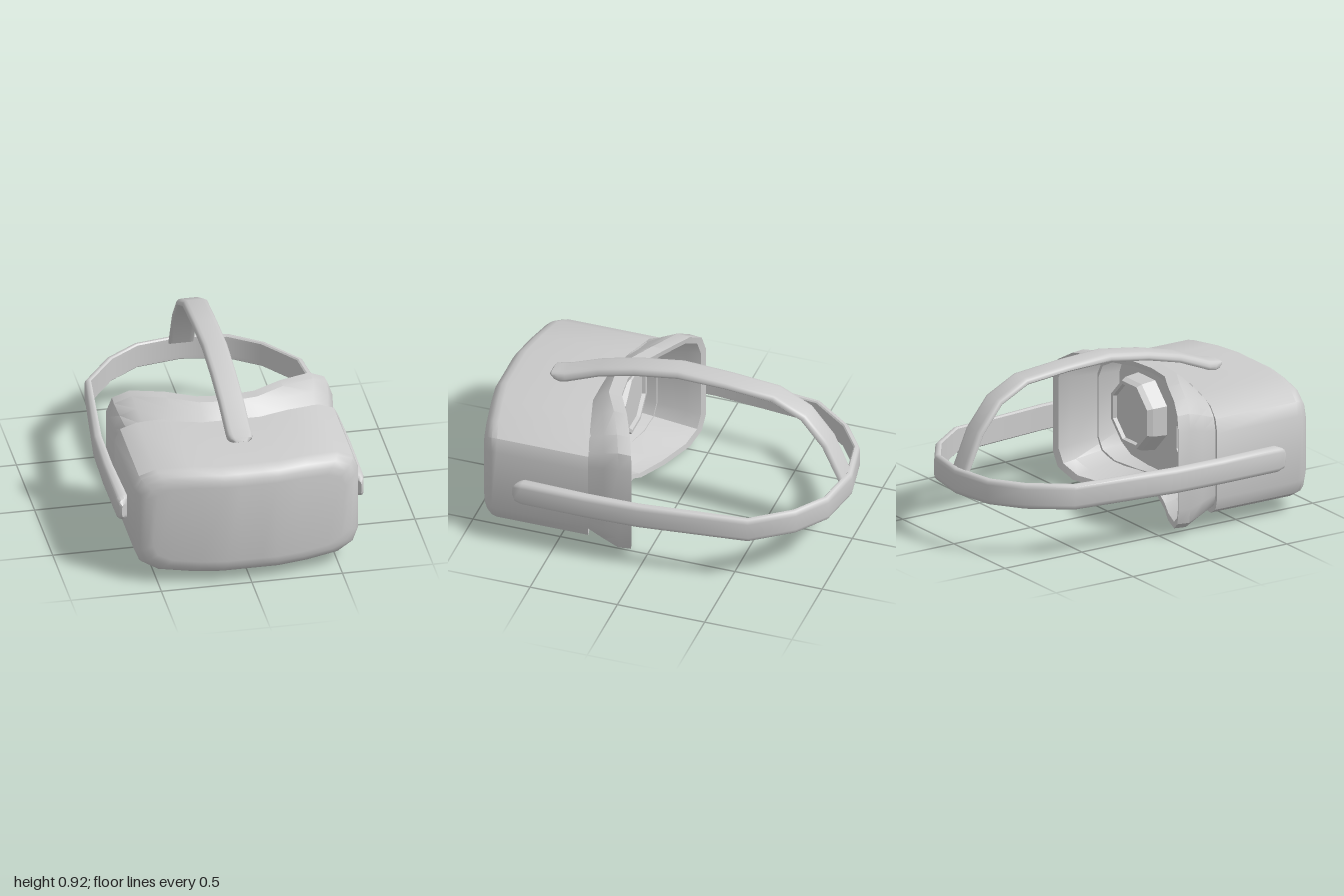
import * as THREE from 'three';
import { toCreasedNormals } from 'three/addons/utils/BufferGeometryUtils.js';

const material = new THREE.MeshStandardMaterial({ color: 0xcccccc, side: THREE.DoubleSide });

// Quarter outline shared by housing and face pad: x, fraction of half height
const QUARTER = [[0, 1], [0.07, 1], [0.16, 1], [0.32, 1], [0.5, 0.955], [0.59, 0.81], [0.62, 0.58]];

// Depth curves as [|x|, z]
const FRONT = [[0, 1], [0.16, 1], [0.32, 0.97], [0.5, 0.935], [0.62, 0.905]];
const JOINT = [[0, 0.43], [0.16, 0.43], [0.32, 0.385], [0.5, 0.335], [0.62, 0.3]];
const RIM = [[0, 0.285], [0.16, 0.265], [0.32, 0.18], [0.5, 0.1], [0.62, 0.05]];

function curve(table, x) {
  const a = Math.abs(x);
  for (let i = 1; i < table.length; i++) {
    const [x0, z0] = table[i - 1], [x1, z1] = table[i];
    if (a <= x1 || i === table.length - 1) return z0 + (z1 - z0) * (a - x0) / (x1 - x0);
  }
}

// Closed ring of points: across the top from -x to +x, back along the bottom
function ring(halfW, halfH, centreY, depth, notch = 0) {
  const half = [...QUARTER.slice(1).reverse().map(([x, y]) => [-x, y]), ...QUARTER];
  const place = ([x, f], side) => {
    const px = x * halfW / 0.62;
    const lift = side < 0 && Math.abs(x) < 0.1 ? notch : 0;
    return new THREE.Vector3(px, centreY + side * f * halfH + lift, depth(px));
  };
  return [...half.map(p => place(p, 1)), ...half.slice().reverse().map(p => place(p, -1))];
}

// Skin between rings, with optional caps bridging top and bottom halves
function loft(rings, capStart, capEnd, crease) {
  const n = rings[0].length, index = [];
  const quad = (a, b, c, d) => index.push(a, b, c, b, d, c);
  for (let j = 0; j < rings.length - 1; j++) {
    for (let i = 0; i < n; i++) {
      const k = (i + 1) % n;
      quad(j * n + i, j * n + k, (j + 1) * n + i, (j + 1) * n + k);
    }
  }
  const last = (rings.length - 1) * n;
  for (let i = 0; i < n / 2 - 1; i++) {
    if (capStart) quad(i, n - 1 - i, i + 1, n - 2 - i);
    if (capEnd) quad(last + i, last + i + 1, last + n - 1 - i, last + n - 2 - i);
  }
  const geometry = new THREE.BufferGeometry().setFromPoints(rings.flat());
  geometry.setIndex(index);
  return toCreasedNormals(geometry, crease);
}

// Strap swept along its outer surface; stations are {p, width scale, thickness}
const BAND = [[-1, -0.65], [-0.95, -0.3], [-0.82, -0.08], [-0.6, 0]];
function strap(stations, axis, halfWidth) {
  const top = [...BAND, ...BAND.slice().reverse().map(([w, t]) => [-w, t])];
  const bottom = [[1, -0.8], [0.9, -1], [0.6, -1], [0.2, -1]];
  const section = [...top, ...bottom, ...bottom.slice().reverse().map(([w, t]) => [-w, t])];
  const rings = stations.map(({ p, scale, thick }, i) => {
    const before = stations[Math.max(i - 1, 0)].p;
    const after = stations[Math.min(i + 1, stations.length - 1)].p;
    const inDir = p.clone().sub(before).normalize(), outDir = after.clone().sub(p).normalize();
    const normal = axis.clone().cross(inDir.add(outDir).normalize());
    return section.map(([w, t]) => p.clone()
      .addScaledVector(axis, w * halfWidth * scale)
      .addScaledVector(normal, t * thick));
  });
  return loft(rings, true, true, 0.75);
}

export function createModel() {
  const model = new THREE.Group();
  const add = (name, geometry, parent = model) => {
    const mesh = new THREE.Mesh(geometry, material);
    mesh.name = name;
    parent.add(mesh);
    return mesh;
  };

  // Housing: rounded front edge, straight sides, inward lip at the back
  const housing = [];
  const radius = 0.09, steps = 4;
  for (let i = 0; i <= steps; i++) {
    const a = (i / steps) * Math.PI / 2;
    const inset = radius * (1 - Math.sin(a)), drop = radius * 0.9 * (1 - Math.cos(a));
    housing.push(ring(0.62 - inset, 0.32 - inset, 0.375, x => curve(FRONT, x) - drop));
  }
  const joint = x => curve(JOINT, x);
  housing.push(ring(0.62, 0.32, 0.375, joint));
  housing.push(ring(0.57, 0.295, 0.378, x => joint(x) + 0.005));
  add('housing', loft(housing, true, false, 0.7));

  // Face pad: flares out of the housing, turns over a thin rim and runs back inside
  const rim = x => curve(RIM, x);
  const panelRing = ring(0.575, 0.29, 0.385, () => 0.46);
  add('facePad', loft([
    ring(0.58, 0.305, 0.38, x => joint(x) + 0.01),
    ring(0.605, 0.35, 0.385, x => 0.45 * joint(x) + 0.55 * (rim(x) + 0.085), 0.02),
    ring(0.62, 0.385, 0.385, x => rim(x) + 0.075, 0.04),
    ring(0.615, 0.38, 0.385, rim, 0.05),
    ring(0.585, 0.35, 0.385, x => rim(x) + 0.005, 0.05),
    ring(0.58, 0.335, 0.385, x => rim(x) + 0.08, 0.04),
    panelRing,
  ], false, false, 0.6));

  // Inner panel behind the lenses
  add('lensPanel', loft([panelRing], false, true, 0.5));

  // Eight-sided eyepieces with recessed lenses
  const eyepieceProfile = [[0.215, 0], [0.205, 0.085], [0.19, 0.115], [0.17, 0.115], [0.163, 0.095], [0, 0.095]]
    .map(([r, y]) => new THREE.Vector2(r, y));
  for (const side of [1, -1]) {
    const geometry = new THREE.LatheGeometry(eyepieceProfile, 8, Math.PI / 8).rotateX(-Math.PI / 2);
    const eyepiece = add(side > 0 ? 'leftEyepiece' : 'rightEyepiece', toCreasedNormals(geometry, 0.3));
    eyepiece.position.set(side * 0.31, 0.4, 0.46);
  }

  // Strap around the head: x, z, width scale, thickness; mirrored for the other side
  const sidePath = [
    [0.66, 0.72, 0.55, 0.04], [0.675, 0.705, 0.85, 0.055], [0.683, 0.665, 1, 0.062],
    [0.685, 0.3, 1, 0.052], [0.676, 0, 1, 0.046], [0.602, -0.61, 1, 0.036],
    [0.438, -0.83, 1, 0.036], [0.26, -0.955, 1, 0.036],
  ];
  const station = ([x, z, scale, thick]) => ({ p: new THREE.Vector3(x, 0.357, z), scale, thick });
  const headPath = [
    ...sidePath.map(station),
    station([0, -1, 1, 0.036]),
    ...sidePath.slice().reverse().map(([x, ...rest]) => station([-x, ...rest])),
  ];
  add('headStrap', strap(headPath, new THREE.Vector3(0, -1, 0), 0.0725));

  // Strap over the top: z, y, width scale, thickness
  const topPath = [
    [0.722, 0.72, 0.6, 0.03], [0.71, 0.74, 0.88, 0.045], [0.67, 0.75, 1, 0.05],
    [0.63, 0.757, 1, 0.05], [0.44, 0.83, 1, 0.045], [0.23, 0.882, 1, 0.045],
    [-0.02, 0.92, 1, 0.045], [-0.3, 0.905, 1, 0.036], [-0.57, 0.88, 1, 0.036],
    [-0.75, 0.79, 1, 0.036], [-0.88, 0.63, 1, 0.036], [-0.975, 0.41, 1, 0.03],
  ];
  add('topStrap', strap(
    topPath.map(([z, y, scale, thick]) => ({ p: new THREE.Vector3(0, y, z), scale, thick })),
    new THREE.Vector3(1, 0, 0), 0.07));

  return model;
}
